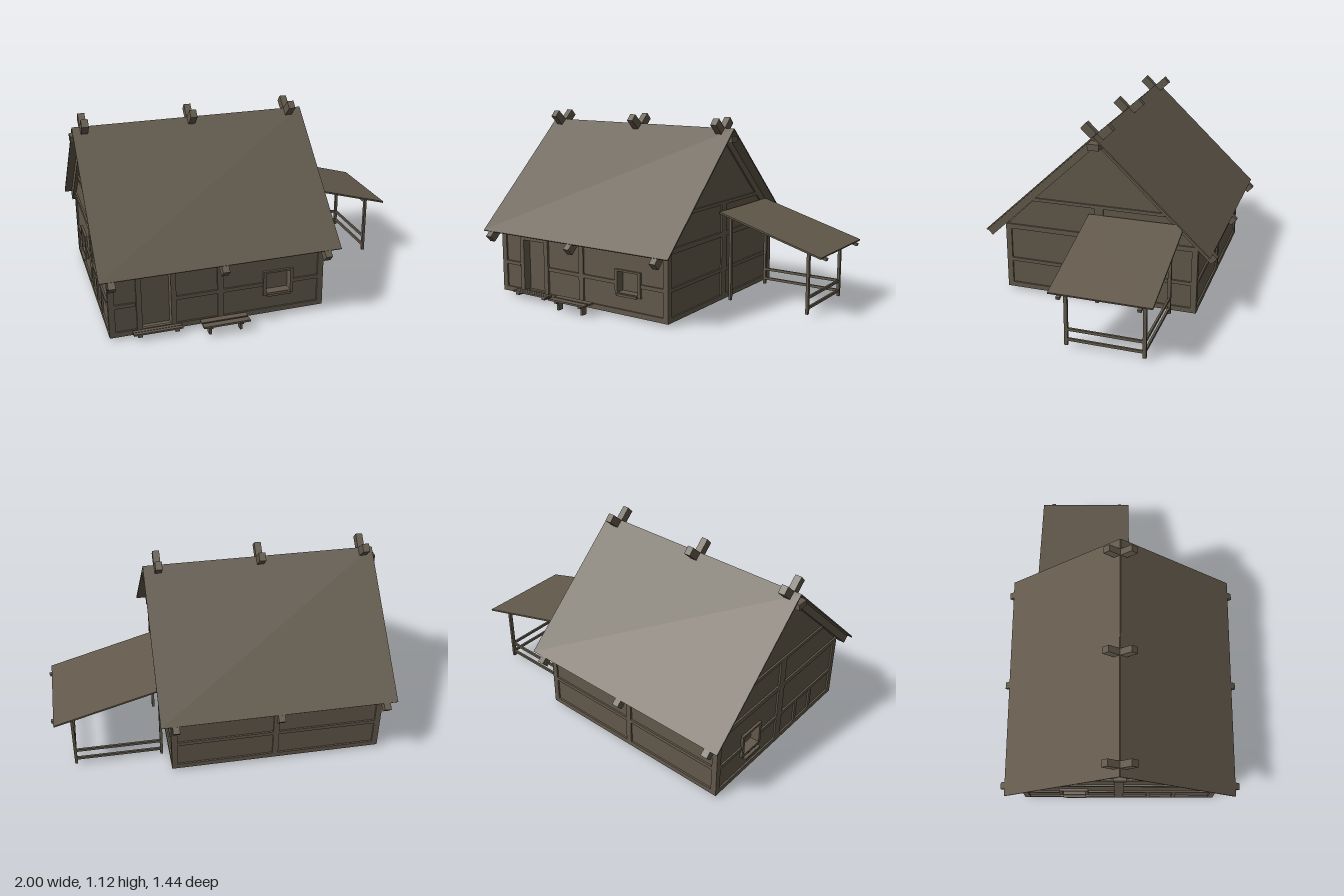
import * as THREE from 'three';

export function createModel() {
  const house = new THREE.Group();
  house.name = 'cottage';
  const wood = new THREE.MeshStandardMaterial({ color: 0x62594b, side: THREE.DoubleSide });
  wood.name = 'weatheredWood';

  const add = (name, geo) => {
    const m = new THREE.Mesh(geo, wood);
    m.name = name;
    house.add(m);
    return m;
  };
  // Box given by its lower and upper limits on each axis
  const box = (name, x0, x1, y0, y1, z0, z1) => {
    const m = add(name, new THREE.BoxGeometry(x1 - x0, y1 - y0, z1 - z0));
    m.position.set((x0 + x1) / 2, (y0 + y1) / 2, (z0 + z1) / 2);
    return m;
  };
  // Beam running between two points [z, y]
  const slopeZ = (name, x, w, t, a, b) => {
    const dz = b[0] - a[0], dy = b[1] - a[1];
    const m = add(name, new THREE.BoxGeometry(w, t, Math.hypot(dz, dy)));
    m.position.set(x, (a[1] + b[1]) / 2, (a[0] + b[0]) / 2);
    m.rotation.x = -Math.atan2(dy, dz);
  };
  // Beam running between two points [x, y]
  const slopeX = (name, z, w, t, a, b) => {
    const dx = b[0] - a[0], dy = b[1] - a[1];
    const m = add(name, new THREE.BoxGeometry(Math.hypot(dx, dy), t, w));
    m.position.set((a[0] + b[0]) / 2, (a[1] + b[1]) / 2, z);
    m.rotation.z = Math.atan2(dy, dx);
  };
  const polygon = (pts) => new THREE.Shape(pts.map((p) => new THREE.Vector2(...p)));
  const rect = (x0, x1, y0, y1) => [[x0, y0], [x1, y0], [x1, y1], [x0, y1]];

  const L = -0.93, R = 0.33, F = 0.585, B = -0.61, G = 0.015, E = 0.435, T = 0.02, S = 0.01;
  const ridgeZ = -0.005;
  const mirrorZ = ([z, y]) => [2 * ridgeZ - z, y];

  // Floor
  box('floor', L, R, G, 0.035, B, F);

  // Front and back walls
  const front = polygon(rect(L + S, R - S, G, E));
  front.holes.push(polygon(rect(-0.745, -0.58, 0.04, 0.36)), polygon(rect(-0.02, 0.125, 0.145, 0.27)));
  add('frontWall', new THREE.ExtrudeGeometry(front, { depth: T, bevelEnabled: false })).position.z = F - S - T;
  box('backWall', L + S, R - S, G, E, B + S, B + S + T);

  // Gable end walls, the left-hand end with a window opening
  const gable = (name, x, hole) => {
    const s = polygon([[B + S, G], [F - S, G], [F - S, E], [ridgeZ, 1.0], [B + S, E]]);
    if (hole) s.holes.push(polygon(hole));
    const g = new THREE.ExtrudeGeometry(s, { depth: T, bevelEnabled: false }).rotateY(-Math.PI / 2);
    add(name, g).position.x = x;
  };
  gable('annexGableWall', R - S);
  gable('windowGableWall', L + S + T, rect(-0.36, -0.22, 0.145, 0.27));

  // Corner posts
  for (const x of [L, R - 0.035])
    for (const z of [B, F - 0.035]) box('cornerPost', x, x + 0.035, G, E, z, z + 0.035);

  // Timber framing of the long walls
  for (const [z0, z1] of [[F - T, F], [B, B + T]]) {
    box('sillBeam', L, R, G, 0.045, z0, z1);
    box('wallPlate', L, R, 0.38, E, z0, z1);
    box('middlePost', -0.31, -0.275, G, E, z0, z1);
    const spans = z0 > 0 ? [[L, -0.78], [-0.555, -0.04], [0.14, R]] : [[L, R]];
    for (const [a, b] of spans) box('middleRail', a, b, 0.19, 0.212, z0, z1);
  }

  // Timber framing of the gable ends
  for (const [x0, x1] of [[R - T, R], [L, L + T]]) {
    box('sillBeam', x0, x1, G, 0.045, B, F);
    box('tieBeam', x0, x1, 0.405, E, B, F);
    box('collarBeam', x0, x1, 0.6, 0.62, -0.41, 0.4);
    box('middlePost', x0, x1, G, 0.6, -0.04, 0.015);
    const spans = x0 < 0 ? [[B, -0.38], [-0.2, F]] : [[B, F]];
    for (const [a, b] of spans) box('middleRail', x0, x1, 0.19, 0.212, a, b);
  }
  for (const z of [0.17, 0.33]) box('lowerStud', L, L + T, G, 0.2, z - 0.012, z + 0.012);

  // Frame around an opening on the front wall
  const frontFrame = (name, x0, x1, y0, y1, w) => {
    const z0 = F - 0.05, z1 = F + 0.004;
    box(name + 'Jamb', x0 - w, x0, y0 - 0.015, y1 + w * 0.6, z0, z1);
    box(name + 'Jamb', x1, x1 + w, y0 - 0.015, y1 + w * 0.6, z0, z1);
    box(name + 'Head', x0, x1, y1, y1 + w * 0.6, z0, z1);
    box(name + 'Threshold', x0, x1, y0 - 0.015, y0, z0, z1);
    box(name + 'Panel', x0, x1, y0, y1, z0 - 0.008, z0);
  };
  frontFrame('door', -0.745, -0.58, 0.04, 0.36, 0.03);
  frontFrame('frontWindow', -0.02, 0.125, 0.145, 0.27, 0.018);
  box('frontWindowSill', -0.018, 0.123, 0.128, 0.142, F, F + 0.018);

  // Window in the left-hand gable end
  for (const z of [-0.378, -0.22]) box('sideWindowJamb', L - 0.004, L + 0.05, 0.13, 0.285, z, z + 0.018);
  for (const y of [0.13, 0.27]) box('sideWindowRail', L - 0.004, L + 0.05, y, y + 0.015, -0.36, -0.22);
  box('sideWindowPanel', L + 0.05, L + 0.058, 0.145, 0.27, -0.36, -0.22);
  box('sideWindowSill', L - 0.018, L, 0.11, 0.122, -0.36, -0.22);

  // Main roof, with rafters crossing above the ridge
  const ridge = [ridgeZ, 1.052], eave = [0.683, 0.408];
  const foot = [0.695, 0.364], tip = [-0.086, 1.097];
  const same = (p) => p;
  for (const side of [same, mirrorZ]) {
    slopeZ('roofSlope', -0.295, 1.38, 0.008, side(eave), side(ridge));
    for (const x of [-0.92, -0.295, 0.31]) slopeZ('rafter', x, 0.04, 0.05, side(foot), side(tip));
  }
  box('ridgeBeam', -1.0, 0.4, 0.975, 1.012, -0.04, 0.03);

  // Lean-to roof, rafters, posts and rails
  slopeX('leanToRoof', -0.24, 0.575, 0.01, [R, 0.558], [0.985, 0.368]);
  for (const z of [-0.015, -0.46]) {
    slopeX('leanToRafter', z, 0.022, 0.016, [R, 0.546], [0.998, 0.352]);
    box('innerPost', 0.367, 0.383, G, 0.54, z - 0.01, z + 0.01);
    box('outerPost', 0.877, 0.893, G, 0.385, z - 0.01, z + 0.01);
  }
  box('leanToBeam', 0.877, 0.893, 0.355, 0.375, -0.47, -0.005);
  for (const y of [0.05, 0.112]) {
    box('backRail', 0.375, 0.885, y - 0.008, y + 0.008, -0.466, -0.454);
    box('outerRail', 0.879, 0.891, y - 0.008, y + 0.008, -0.46, -0.015);
  }

  // Doorstep made of planks on two bearers
  for (const z of [0.59, 0.614]) box('stepPlank', -0.805, -0.525, 0.032, 0.042, z, z + 0.02);
  for (const x of [-0.78, -0.57]) box('stepBearer', x, x + 0.025, 0.018, 0.032, F, 0.632);

  // Bench
  for (const z of [0.632, 0.682]) box('benchPlank', -0.43, -0.16, 0.06, 0.071, z, z + 0.04);
  for (const x of [-0.385, -0.205]) {
    box('benchBrace', x - 0.01, x + 0.01, 0.045, 0.06, 0.645, 0.71);
    box('benchLeg', x - 0.007, x + 0.007, 0, 0.06, 0.653, 0.69);
  }
  return house;
}
